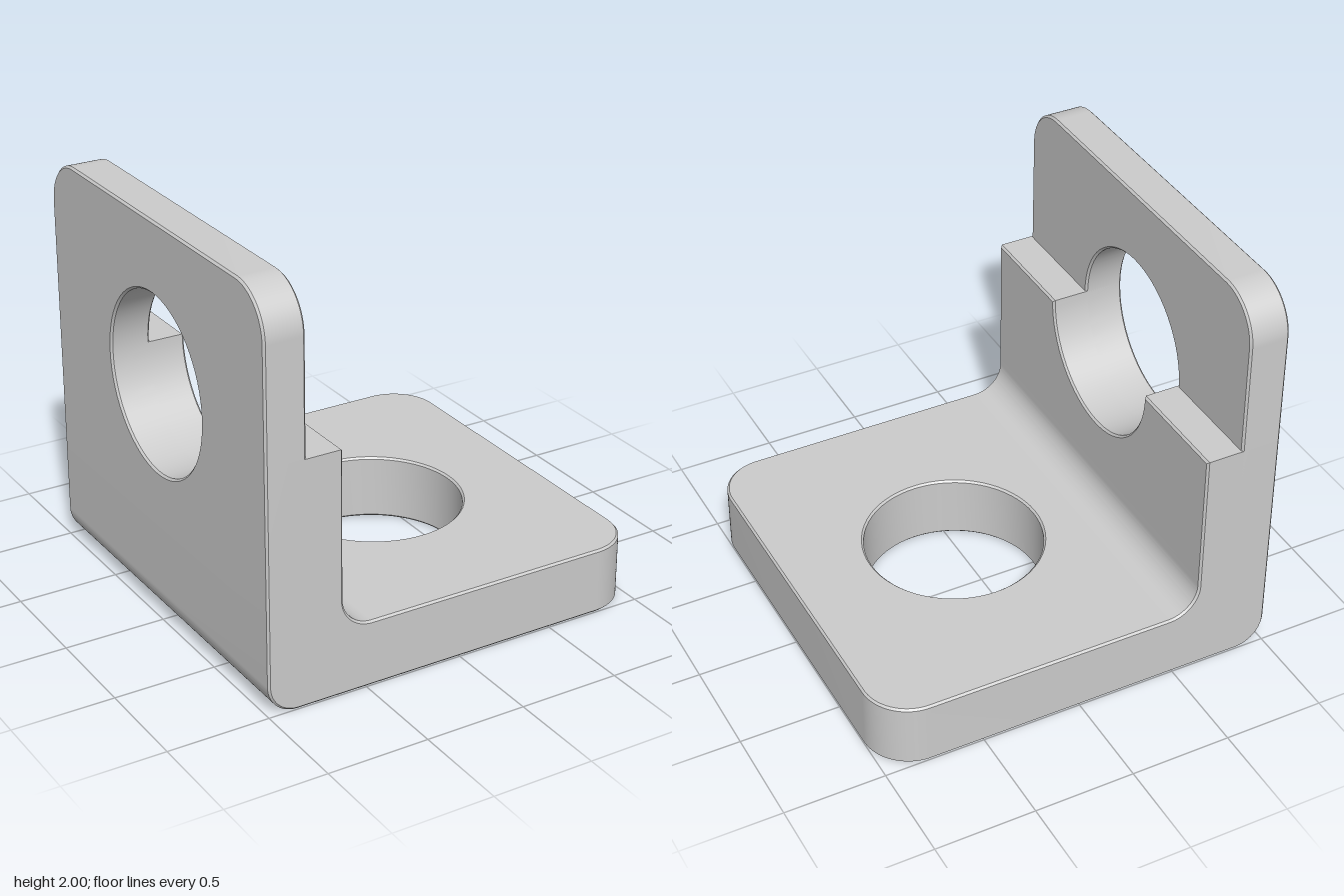
import * as THREE from 'three';
import { toCreasedNormals } from 'three/addons/utils/BufferGeometryUtils.js';

const BEVEL = 0.01;   // small softening of every outer edge
const HOLE_R = 0.4375;
const CORNER_R = 0.23;

// Extrude a shape from z = 0 to z = depth, keeping its outline at full size
function slab(shape, depth) {
  const geo = new THREE.ExtrudeGeometry(shape, {
    depth: depth - 2 * BEVEL, curveSegments: 16, bevelEnabled: true,
    bevelSize: BEVEL, bevelThickness: BEVEL, bevelOffset: -BEVEL, bevelSegments: 1,
  });
  geo.translate(0, 0, BEVEL);
  return toCreasedNormals(geo, 0.4);
}

// Plate outline: square at the lower end, rounded at the upper end, with a round hole
function plateShape(bottom, top, holeY) {
  const r = CORNER_R;
  const s = new THREE.Shape();
  s.moveTo(-1, bottom).lineTo(1, bottom).lineTo(1, top - r);
  s.absarc(1 - r, top - r, r, 0, Math.PI / 2, false);
  s.lineTo(-1 + r, top);
  s.absarc(-1 + r, top - r, r, Math.PI / 2, Math.PI, false);
  s.closePath();
  const hole = new THREE.Path();
  hole.absarc(0, holeY, HOLE_R, 0, -Math.PI, true);
  hole.absarc(0, holeY, HOLE_R, Math.PI, 0, true);
  s.holes.push(hole);
  return s;
}

export function createModel() {
  const group = new THREE.Group();
  const material = new THREE.MeshStandardMaterial({ color: 0xcccccc });
  const add = (name, geo) => {
    const mesh = new THREE.Mesh(geo, material);
    mesh.name = name;
    group.add(mesh);
  };

  // Full-height thin wall with its round hole
  const wall = slab(plateShape(0.5, 2, 1.21), 0.2);
  wall.rotateY(Math.PI / 2).translate(-1, 0, 0);
  add('uprightWall', wall);

  // Thickened lower half of the wall, ending in a ledge notched by the hole
  const step = new THREE.Shape();
  step.moveTo(-1, 0.5).lineTo(1, 0.5).lineTo(1, 1.21).lineTo(HOLE_R, 1.21);
  step.absarc(0, 1.21, HOLE_R, 0, -Math.PI, true);
  step.lineTo(-1, 1.21).closePath();
  const stepGeo = slab(step, 0.38);
  stepGeo.rotateY(Math.PI / 2).translate(-1, 0, 0);
  add('wallStep', stepGeo);

  // Base plate with rounded outer corners and a round hole
  const base = slab(plateShape(-0.42, 1, 0.152), 0.33);
  base.rotateZ(-Math.PI / 2).rotateX(-Math.PI / 2);
  add('basePlate', base);

  // Bend joining wall and base: rounded outside, filleted inside
  const bend = new THREE.Shape();
  bend.moveTo(-0.85, 0).lineTo(-0.35, 0).lineTo(-0.35, 0.33).lineTo(-0.47, 0.33);
  bend.absarc(-0.47, 0.48, 0.15, -Math.PI / 2, -Math.PI, true);
  bend.lineTo(-0.62, 0.55).lineTo(-1, 0.55).lineTo(-1, 0.15);
  bend.absarc(-0.85, 0.15, 0.15, Math.PI, Math.PI * 1.5, false);
  const bendGeo = slab(bend, 2);
  bendGeo.translate(0, 0, -1);
  add('cornerBend', bendGeo);

  return group;
}
